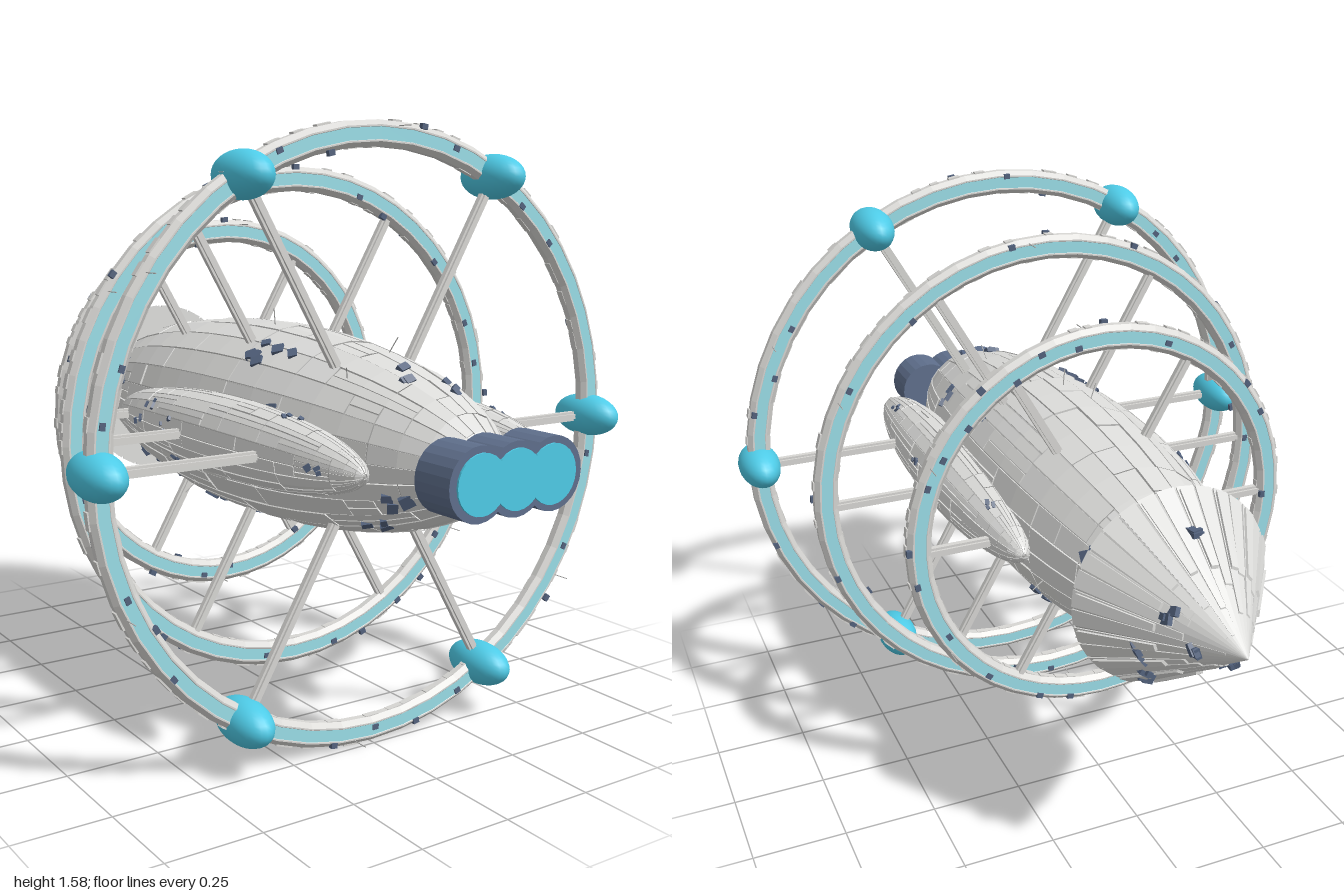
import * as THREE from 'three';
import { mergeGeometries } from 'three/addons/utils/BufferGeometryUtils.js';

const CY = 0.8; // height of the ship's long axis
const material = (name, color) => {
  const m = new THREE.MeshStandardMaterial({ color });
  m.name = name;
  return m;
};

export function createModel() {
  const ship = new THREE.Group();
  ship.name = 'ringShip';
  const plate = material('hullPlate', 0xdededc);
  const seam = material('seamGrey', 0xbcbcba);
  const frame = material('frameGrey', 0xd8d7d4);
  const cyan = material('cyan', 0x4fcde9);
  const paleCyan = material('paleCyan', 0x9bdfe9);
  const navy = material('navy', 0x5f6f8c);
  const darkNavy = material('darkNavy', 0x53627d);

  let seed = 7;
  const rnd = () => (seed = (seed * 16807) % 2147483647) / 2147483647;

  const flat = (g) => {
    const f = g.index ? g.toNonIndexed() : g;
    f.deleteAttribute('uv');
    f.computeVertexNormals();
    return f;
  };
  const add = (name, geos, mat, parent = ship) => {
    const mesh = new THREE.Mesh(mergeGeometries([].concat(geos).map(flat)), mat);
    mesh.name = name;
    parent.add(mesh);
  };

  // Surfaces: (t from front to back, angle, height above skin) -> point
  const ellipsoid = (cx, cz, rx, ry, rz) => (t, a, h) => {
    const p = t * Math.PI;
    return new THREE.Vector3(
      cx + (rx + h) * Math.sin(p) * Math.cos(a),
      CY + (ry + h) * Math.sin(p) * Math.sin(a),
      cz + (rz + h) * Math.cos(p));
  };
  const cone = (t, a, h) => {
    const r = 0.255 * (1 - t) + h * Math.min(1, (1 - t) * 6);
    return new THREE.Vector3(r * Math.cos(a), CY + r * Math.sin(a), -0.64 - 0.355 * t);
  };

  // A box bent onto a surface
  const patch = (surf, t0, t1, a0, a1, h0, h1, nt = 1, na = 1) => {
    const g = new THREE.BoxGeometry(1, 1, 1, nt, na, 1);
    const p = g.attributes.position;
    for (let i = 0; i < p.count; i++) {
      const v = surf(t0 + (p.getX(i) + 0.5) * (t1 - t0),
        a0 + (p.getY(i) + 0.5) * (a1 - a0), p.getZ(i) < 0 ? h0 : h1);
      p.setXYZ(i, v.x, v.y, v.z);
    }
    return g;
  };

  // Columns of plates of varied length, separated by narrow seams
  const plating = (surf, cols, rows, t0, t1, rise, gapT, gapA) => {
    const out = [];
    const da = Math.PI * 2 / cols, dt = (t1 - t0) / rows;
    for (let c = 0; c < cols; c++) {
      for (let r = 0; r < rows;) {
        const n = Math.min(rows - r, 1 + Math.floor(rnd() * 3));
        const parts = rnd() < 0.25 ? 2 : 1;
        for (let k = 0; k < parts; k++) {
          const a = (c + k / parts) * da;
          out.push(patch(surf, t0 + r * dt + gapT, t0 + (r + n) * dt - gapT,
            a + gapA, a + da / parts - gapA, -0.004, rise * (0.6 + 0.6 * rnd()), n));
        }
        r += n;
      }
    }
    return out;
  };

  // Small boxes and thin rods standing on a surface
  const dummy = new THREE.Object3D();
  const stand = (g, pos, out) => {
    dummy.position.copy(pos);
    dummy.lookAt(out);
    dummy.updateMatrix();
    return g.applyMatrix4(dummy.matrix);
  };
  const bits = (surf, count, t0, t1, size) => {
    const out = [];
    let t, a;
    for (let i = 0; i < count; i++) {
      if (i % 3 === 0) { t = t0 + rnd() * (t1 - t0); a = rnd() * Math.PI * 2; }
      else { t += (rnd() - 0.5) * 0.06; a += (rnd() - 0.5) * 0.4; }
      const g = new THREE.BoxGeometry(size * (0.7 + 0.8 * rnd()), size * (0.7 + 0.8 * rnd()), size * 0.6);
      out.push(stand(g.rotateZ(rnd() * 0.6), surf(t, a, 0.006), surf(t, a, 0.2)));
    }
    return out;
  };
  const whiskers = (surf, count, t0, t1) => Array.from({ length: count }, () => {
    const t = t0 + rnd() * (t1 - t0), a = rnd() * Math.PI * 2;
    return stand(new THREE.BoxGeometry(0.002, 0.002, 0.1), surf(t, a, 0), surf(t, a, 0.2));
  });

  // Hull and the two side pods: skin under raised plates
  const plated = (name, surf, cols, rows, rise, gapT, gapA) => {
    const g = new THREE.Group();
    g.name = name;
    ship.add(g);
    add(name + 'Skin', patch(surf, 0.003, 0.997, 0, Math.PI * 2, -0.02, 0, 30, cols), seam, g);
    add(name + 'Plates', plating(surf, cols, rows, 0.02, 0.98, rise, gapT, gapA), plate, g);
    return g;
  };
  const hullSurf = ellipsoid(0, 0.03, 0.26, 0.26, 0.89);
  const hull = plated('hull', hullSurf, 24, 22, 0.007, 0.0008, 0.008);
  add('hullBits', bits(hullSurf, 78, 0.2, 0.75, 0.022), darkNavy, hull);
  add('hullWhiskers', whiskers(hullSurf, 8, 0.25, 0.7), seam, hull);
  for (const s of [1, -1]) {
    const surf = ellipsoid(s * 0.265, 0.22, 0.09, 0.1, 0.575);
    const side = s > 0 ? 'left' : 'right';
    const pod = plated(side + 'Pod', surf, 18, 20, 0.005, 0.001, 0.016);
    add(side + 'PodBits', bits(surf, 24, 0.2, 0.8, 0.012), darkNavy, pod);
  }

  // Tail cone with raised strips
  const tail = new THREE.Group();
  tail.name = 'tailCone';
  ship.add(tail);
  add('tailSkin', new THREE.ConeGeometry(0.257, 0.36, 32).rotateX(-Math.PI / 2)
    .translate(0, CY, -0.82), plate, tail);
  const strips = [], ribs = [];
  for (let i = 0; i < 32; i++) {
    const a = i * Math.PI / 16;
    strips.push(patch(cone, 0, 0.5 + 0.45 * rnd(), a + 0.012, a + 0.184, -0.004, 0.007));
    if (i % 2 === 0) strips.push(patch(cone, 0.03, 0.5, a + 0.03, a + 0.165, 0, 0.014));
    ribs.push(patch(cone, 0.01, 0.9, a - 0.01, a + 0.01, 0, 0.004));
  }
  add('tailStrips', strips, plate, tail);
  add('tailSeams', ribs, seam, tail);
  add('tailBits', bits(cone, 24, 0.15, 0.8, 0.022), darkNavy, tail);

  // Three joined engine drums with glowing fronts
  const drums = [], glows = [];
  for (const x of [-0.108, 0, 0.108]) {
    drums.push(new THREE.CylinderGeometry(0.086, 0.086, 0.115, 24).rotateX(Math.PI / 2)
      .translate(x, CY, 0.9375));
    glows.push(new THREE.CylinderGeometry(0.07, 0.07, 0.008, 24).rotateX(Math.PI / 2)
      .translate(x * 0.96, CY, 0.996));
  }
  add('engineDrums', drums, navy);
  add('engineGlow', glows, cyan);

  // Rings: grey rails on both edges of a cyan band, six spokes each
  const band = (r0, r1, h, c0, c1) => new THREE.LatheGeometry([
    [r0 + c0, -h], [r1 - c1, -h], [r1, -h + c1], [r1, h - c1],
    [r1 - c1, h], [r0 + c0, h], [r0, h - c0], [r0, -h + c0], [r0 + c0, -h],
  ].map(([x, y]) => new THREE.Vector2(x, y)), 48).rotateX(Math.PI / 2);

  const rings = [['frontRing', 0.757, 0.475], ['middleRing', 0.652, 0.115], ['rearRing', 0.507, -0.245]];
  for (const [name, R, z] of rings) {
    const ring = new THREE.Group();
    ring.name = name;
    ring.position.set(0, CY, z);
    ship.add(ring);
    add(name + 'Rails', [band(R + 0.014, R + 0.032, 0.021, 0.002, 0.012),
      band(R - 0.032, R - 0.014, 0.021, 0.012, 0.002)], frame, ring);
    add(name + 'Band', band(R - 0.018, R + 0.018, 0.02, 0.002, 0.002), paleCyan, ring);

    const clamps = [], gadgets = [], spikes = [], spokes = [];
    const at = (list, g, r, a, dz) => list.push(g.translate(r, 0, dz).rotateZ(a));
    for (let i = 0; i < 72; i++) {
      const a = (i + 0.5 * rnd()) * Math.PI / 36;
      const side = rnd() < 0.5 ? 1 : -1;
      const len = R * (0.03 + 0.04 * rnd());
      at(clamps, new THREE.BoxGeometry(0.01, len, 0.018), R + side * 0.03, a, 0);
      if (i % 2 === 0) {
        const dz = (rnd() < 0.5 ? 1 : -1) * 0.018;
        at(gadgets, new THREE.BoxGeometry(0.014, 0.018, 0.012), R + (rnd() - 0.5) * 0.07, a, dz);
      }
      if (i % 12 === 5) at(spikes, new THREE.BoxGeometry(0.002, 0.002, 0.05), R + 0.02, a, side * 0.04);
    }
    for (let i = 0; i < 6; i++) {
      const a = i * Math.PI / 3;
      const len = R - 0.18;
      at(spokes, new THREE.BoxGeometry(len, 0.014, 0.026), 0.17 + len / 2, a, 0);
      at(spokes, new THREE.BoxGeometry(len, 0.026, 0.014), 0.17 + len / 2, a, 0);
    }
    add(name + 'Clamps', clamps, frame, ring);
    add(name + 'Gadgets', gadgets, darkNavy, ring);
    add(name + 'Spikes', spikes, seam, ring);
    add(name + 'Spokes', spokes, frame, ring);
  }

  // Stretched smooth nodes where the front spokes meet their ring
  const nodeGeo = new THREE.SphereGeometry(0.058, 24, 16).scale(1, 1, 1.82);
  for (let i = 0; i < 6; i++) {
    const a = i * Math.PI / 3;
    const node = new THREE.Mesh(nodeGeo, cyan);
    node.name = 'ringNode';
    node.position.set(0.757 * Math.cos(a), CY + 0.757 * Math.sin(a), 0.475);
    ship.add(node);
  }
  return ship;
}
